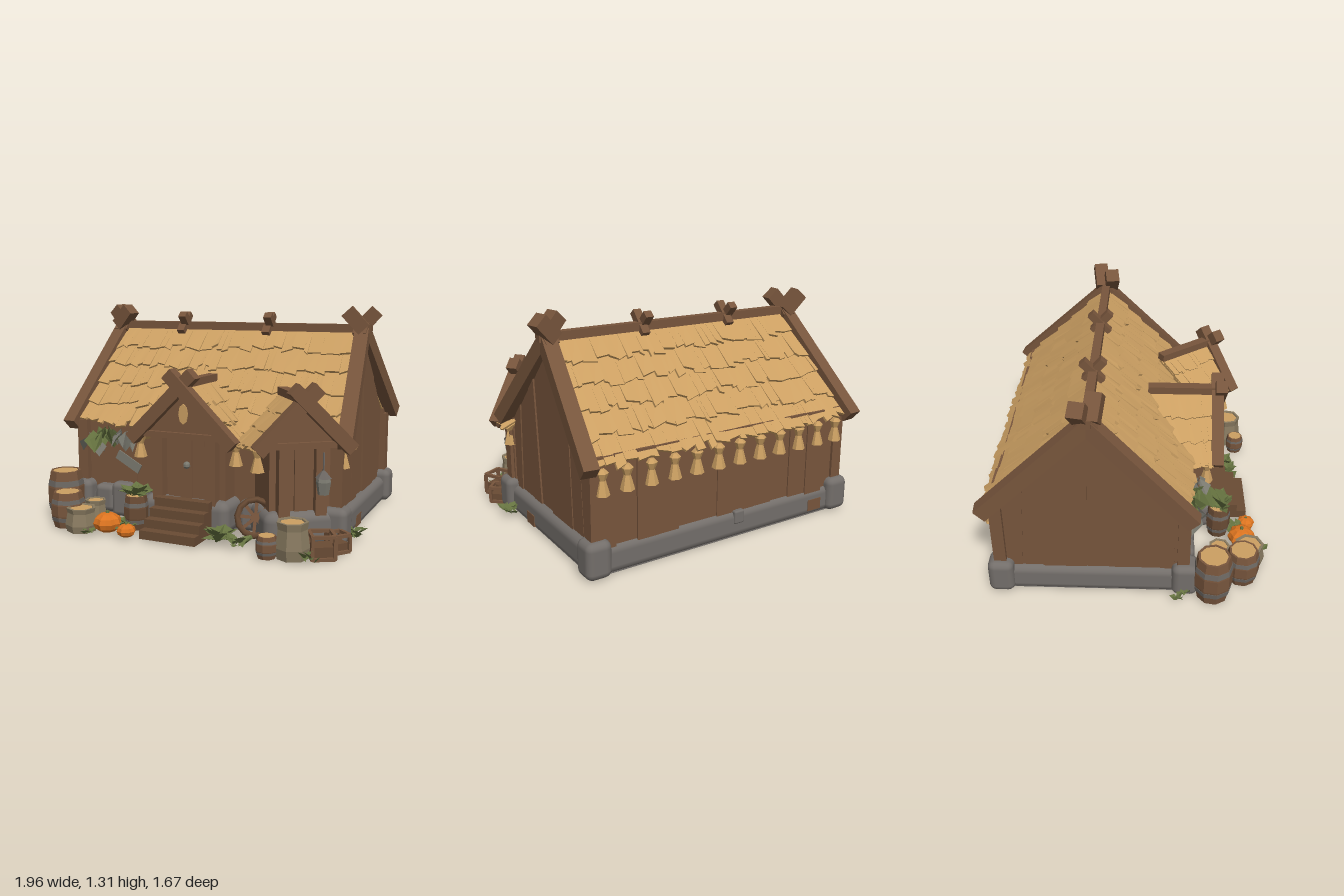
import * as THREE from 'three';
import { mergeGeometries } from 'three/addons/utils/BufferGeometryUtils.js';
import { RoundedBoxGeometry } from 'three/addons/geometries/RoundedBoxGeometry.js';

const paint = (name, color, extra) => Object.assign(new THREE.MeshStandardMaterial({ color }), { name }, extra);
const V = (x, y, z) => new THREE.Vector3(x, y, z);

export function createModel() {
  const wood = paint('wood', 0x77553c), darkWood = paint('dark wood', 0x694b34), thatchMat = paint('thatch', 0xcb9f62);
  const stone = paint('stone', 0x736e6a), sackMat = paint('sackcloth', 0x887a60), orange = paint('pumpkin orange', 0xdc7420);
  const green = paint('leaf green', 0x667340, { side: THREE.DoubleSide });
  const grey = paint('dried herb grey', 0x7b7a70, { side: THREE.DoubleSide });
  const iron = paint('iron', 0x6c6762);
  let seed = 7;
  const rnd = (a = 0, b = 1) => { seed = (seed * 16807) % 2147483647; return a + (b - a) * seed / 2147483647; };

  const model = new THREE.Group();
  model.name = 'cottage';
  const put = (parent, name, geo, mat, x = 0, y = 0, z = 0) => {
    const m = new THREE.Mesh(geo, mat);
    m.name = name; m.position.set(x, y, z); parent.add(m);
    return m;
  };
  const flat = g => { const f = g.index ? g.toNonIndexed() : g; f.computeVertexNormals(); return f; };
  const box = (parent, name, mat, w, h, d, x, y, z) => put(parent, name, new THREE.BoxGeometry(w, h, d), mat, x, y, z);
  const rock = (parent, name, w, h, d, x, y, z) => put(parent, name, new RoundedBoxGeometry(w, h, d, 2, Math.min(w, h, d) * 0.28), stone, x, y, z);
  // A square timber running from point a to point b
  const beam = (parent, name, a, b, w, h) => {
    const m = new THREE.Mesh(new THREE.BoxGeometry(w, h, a.distanceTo(b)), wood);
    m.name = name; m.position.copy(a).lerp(b, 0.5); m.lookAt(b); parent.add(m);
  };
  const lathe = (pts, n) => flat(new THREE.LatheGeometry(pts.map(p => new THREE.Vector2(...p)), n));

  // Layered straw between a ridge (a to b) and an eave (c to d)
  const thatch = (parent, name, a, b, c, d, rows, cols) => {
    const n = c.clone().sub(a).cross(b.clone().sub(a)).normalize(), parts = [];
    const bundle = (u0, u1, v0, v1, skew, base, thin, thick, lift) => {
      const g = new THREE.BoxGeometry(1, 1, 1), p = g.attributes.position;
      for (let i = 0; i < p.count; i++) {
        const s = p.getX(i) + 0.5, t = p.getZ(i) + 0.5;
        const u = u0 + (u1 - u0) * s, v = v0 + (v1 - v0 + skew * (s - 0.5)) * t;
        const q = a.clone().lerp(b, u).lerp(c.clone().lerp(d, u), v);
        q.addScaledVector(n, base + lift * t + (p.getY(i) + 0.5) * (thin + thick * t));
        p.setXYZ(i, q.x, q.y, q.z);
      }
      parts.push(flat(g));
    };
    bundle(0, 1, 0, 0.98, 0, -0.035, 0.035, 0, 0);
    for (let r = 0; r < rows; r++) {
      for (let u = 0; u < 1;) {
        let w = rnd(0.4, 1.6) / cols;
        if (u + w > 1 - 0.4 / cols) w = 1 - u;
        bundle(u, u + w * 1.02, Math.max(0, r / rows - 0.02), (r + 1) / rows + rnd(-0.01, 0.05), rnd(-0.04, 0.04), 0, 0.008, 0.008, rnd(0.004, 0.016));
        u += w + 1e-6;
      }
    }
    put(parent, name, mergeGeometries(parts), thatchMat);
  };

  // Hanging straw tassel, its top at y
  const tasselGeo = lathe([[0, -0.15], [0.04, -0.14], [0.018, -0.06], [0.034, -0.02], [0.015, 0], [0, 0]], 6);
  const tassel = (parent, x, y, z) => put(parent, 'strawTassel', tasselGeo, thatchMat, x, y, z);

  // Clusters of folded leaves
  const leafGeo = () => {
    const g = new THREE.BufferGeometry();
    g.setAttribute('position', new THREE.Float32BufferAttribute([0, 0, 0, 0.4, 0.15, 0.5, 0, 0, 1, 0, 0, 0, 0, 0, 1, -0.4, 0.15, 0.5], 3));
    g.computeVertexNormals();
    return g;
  };
  const leaves = (name, mat, x, y, z, r, n, droop = false) => {
    const parts = [], o = new THREE.Object3D();
    for (let i = 0; i < n; i++) {
      const t = i * 2.4, up = droop ? rnd(-4, -1.3) : rnd(0.1, 1.3);
      o.position.set(rnd(-0.4, 0.4) * r, rnd(0, 0.25) * r, rnd(-0.4, 0.4) * r);
      o.lookAt(o.position.clone().add(V(Math.cos(t), up, Math.sin(t))));
      o.scale.setScalar(r * rnd(0.6, 1)); o.updateMatrix();
      parts.push(leafGeo().applyMatrix4(o.matrix));
    }
    put(model, name, mergeGeometries(parts), mat, x, y, z);
  };

  // Stone footing with rounded corner stones
  rock(model, 'foundation', 1.74, 0.17, 1.1, 0, 0.085, -0.23);
  box(model, 'foundationBottom', stone, 1.7, 0.05, 1.06, 0, 0.026, -0.23);
  for (const x of [-0.83, 0.83]) for (const z of [-0.74, 0.31]) rock(model, 'cornerStone', 0.15, 0.21, 0.15, x, 0.11, z);
  for (const x of [-0.66, -0.54, -0.42, 0.33, 0.45]) rock(model, 'frontStone', 0.14, rnd(0.17, 0.22), 0.12, x, 0.11, 0.31);
  box(model, 'patchBrick', wood, 0.012, 0.07, 0.1, 0.868, 0.055, -0.02);
  box(model, 'patchBrick', wood, 0.1, 0.07, 0.012, -0.66, 0.07, -0.778);
  rock(model, 'looseStone', 0.07, 0.08, 0.04, -0.08, 0.13, -0.77);

  // Plank walls, the gable planks leaning a little and cut to the roof pitch
  const R = { z: -0.22, y: 1.15 }, roofY = z => R.y - (z > R.z ? 1.06 : 0.94) * Math.abs(z - R.z) - 0.03;
  const plank = ([b0, t0], [b1, t1], depth) => {
    const s = new THREE.Shape([[b0, 0.13], [b1, 0.13], [t1, roofY(t1)], [t0, roofY(t0)]].map(p => new THREE.Vector2(...p)));
    return new THREE.ExtrudeGeometry(s, { depth, bevelEnabled: false });
  };
  const cuts = [[-0.74, -0.74], [-0.62, -0.58], [-0.5, -0.47], [-0.39, -0.36], [-0.25, -0.22], [-0.1, -0.04], [0, 0.03], [0.17, 0.15], [0.3, 0.3]];
  for (const side of [-1, 1]) for (let i = 0; i < cuts.length - 1; i++) {
    const m = put(model, 'gablePlank', plank(cuts[i], cuts[i + 1], 0.05), wood);
    m.rotation.y = -Math.PI / 2;
    m.position.x = side > 0 ? 0.82 + rnd(0, 0.016) : -0.78 - rnd(0, 0.016);
  }
  for (const [z, top] of [[-0.74, 0.66], [0.28, 0.62]]) for (let i = 0; i < 13; i++) {
    box(model, 'wallPlank', wood, 0.13, top - 0.12, 0.05, -0.78 + i * 0.13, (top + 0.12) / 2, z + rnd(-0.01, 0.01));
  }
  for (const x of [-0.83, 0.83]) for (const z of [-0.74, 0.3]) box(model, 'cornerPost', wood, 0.07, 0.43, 0.07, x, 0.38, z);

  // Main roof, ridge pole and crossed gable timbers
  thatch(model, 'frontThatch', V(-0.81, R.y, R.z), V(0.77, R.y, R.z), V(-0.85, 0.585, 0.32), V(0.83, 0.585, 0.32), 5, 30);
  thatch(model, 'backThatch', V(0.77, R.y, R.z), V(-0.81, R.y, R.z), V(0.84, 0.615, -0.775), V(-0.85, 0.615, -0.775), 5, 30);
  beam(model, 'ridgePole', V(-0.9, 1.175, R.z), V(0.87, 1.175, R.z), 0.05, 0.05);
  for (const [s, top, foot] of [[-1, -0.845, -0.9], [1, 0.81, 0.88]]) {
    beam(model, 'frontRafter', V(top, 1.18, -0.25), V(foot, 0.56, 0.35), 0.085, 0.085);
    beam(model, 'backRafter', V(top, 1.18, -0.19), V(foot, 0.6, -0.81), 0.085, 0.085);
    beam(model, 'ridgeHorn', V(top + s * 0.02, 1.17, -0.195), V(top - s * 0.08, 1.28, -0.175), 0.085, 0.085);
    beam(model, 'ridgeHorn', V(top - s * 0.02, 1.17, -0.245), V(top + s * 0.08, 1.28, -0.265), 0.085, 0.085);
  }
  for (const x of [-0.375, 0.22]) for (const s of [-1, 1]) {
    beam(model, 'ridgeClamp', V(x + s * 0.008, 1.13, R.z - s * 0.05), V(x + s * 0.008, 1.25, R.z + s * 0.06), 0.05, 0.045);
  }
  for (let i = 0; i < 12; i++) tassel(model, -0.8 + i * 0.145, 0.6, -0.775);

  // Gabled porch facing local +z, with its gable at z = 0; back holds how far each eave runs back
  const porch = (name, x, z, yaw, half, ridge, eave, len, back) => {
    const g = new THREE.Group();
    g.name = name; g.position.set(x, 0, z); g.rotation.y = yaw; model.add(g);
    const wall = half - 0.09, k = (ridge - eave) / half;
    rock(g, 'porchFooting', wall * 2 + 0.08, 0.2, len, 0, 0.105, -len / 2 - 0.01);
    box(g, 'porchWall', wood, wall * 2, 0.42, len - 0.1, 0, 0.37, -len / 2 - 0.03);
    const tri = new THREE.Shape([[-half + 0.04, eave + 0.02], [half - 0.04, eave + 0.02], [0, ridge - 0.02]].map(p => new THREE.Vector2(...p)));
    put(g, 'porchGable', new THREE.ExtrudeGeometry(tri, { depth: 0.04, bevelEnabled: false }), wood, 0, 0, -0.07);
    for (const s of [-1, 1]) {
      box(g, 'doorPost', wood, 0.065, 0.4, 0.06, s * (wall - 0.07), 0.38, -0.05);
      beam(g, 'porchRafter', V(s * half, eave, s * 0.01), V(-s * 0.075, ridge + 0.08 * k, s * 0.01), 0.07, 0.075);
      const top0 = V(0, ridge, 0), top1 = V(0, ridge, -len);
      const low0 = V(s * (half - 0.01), eave + 0.01, 0), low1 = V(s * (half + 0.03), eave - 0.02, -back[s < 0 ? 0 : 1]);
      if (s > 0) thatch(g, 'porchThatch', top0, top1, low0, low1, 3, 8);
      else thatch(g, 'porchThatch', top1, top0, low1, low0, 3, 8);
      tassel(g, s * (half - 0.02), eave + 0.02, -0.07);
    }
    beam(g, 'porchRidge', V(0, ridge + 0.015, 0), V(0, ridge + 0.015, -len), 0.06, 0.045);
    box(g, 'lintel', wood, wall * 2 + 0.02, 0.035, 0.05, 0, 0.575, -0.03);
    for (let i = -1; i < 2; i++) box(g, 'doorPlank', wood, 0.076, 0.37, 0.02, i * 0.078, 0.385, -0.065 - 0.006 * Math.abs(i));
    return g;
  };
  const entry = porch('entrancePorch', -0.035, 0.51, 0, 0.33, 0.86, 0.54, 0.43, [0.2, 0.18]);
  const corner = porch('cornerPorch', 0.7, 0.49, 0.65, 0.265, 0.81, 0.55, 0.42, [0.31, 0.07]);
  const gableWindow = put(entry, 'gableWindow', flat(new THREE.CylinderGeometry(0.03, 0.03, 0.008, 8)), thatchMat, 0, 0.7, -0.026);
  gableWindow.rotation.x = Math.PI / 2;
  gableWindow.scale.z = 2;
  put(entry, 'doorKnocker', flat(new THREE.SphereGeometry(0.022, 7, 5)), grey, 0.01, 0.4, -0.045);

  // Lantern under the corner porch
  const lantern = new THREE.Group();
  lantern.name = 'lantern'; lantern.position.set(0.1, 0.31, 0.02); corner.add(lantern);
  put(lantern, 'lanternBody', lathe([[0, 0], [0.03, 0], [0.042, 0.07], [0.036, 0.09], [0, 0.09]], 6), grey);
  put(lantern, 'lanternCap', lathe([[0, 0.09], [0.045, 0.09], [0.01, 0.13], [0, 0.13]], 6), iron);
  box(lantern, 'lanternHook', iron, 0.008, 0.12, 0.008, 0, 0.17, 0);

  // Entrance steps
  for (let i = 0; i < 4; i++) box(model, 'step', darkWood, 0.35, 0.05 * (4 - i), 0.06, -0.025, 0.01 + 0.025 * (4 - i), 0.51 + i * 0.06);

  // Barrels with two hoops and a filled top
  const barrel = (x, z, r, h, staves = wood) => {
    const b = new THREE.Group();
    b.name = 'barrel'; b.position.set(x, 0.005, z); model.add(b);
    put(b, 'staves', lathe([[0, 0], [r * 0.82, 0], [r, h * 0.35], [r, h * 0.65], [r * 0.84, h], [r * 0.72, h], [r * 0.72, h * 0.95]], 9), staves);
    for (const t of [0.25, 0.75]) put(b, 'hoop', flat(new THREE.CylinderGeometry(r * (t > 0.5 ? 0.95 : 1), r * (t > 0.5 ? 1 : 0.95), h * 0.12, 9)), iron, 0, h * t, 0);
    put(b, 'filling', flat(new THREE.CylinderGeometry(r * 0.73, r * 0.73, 0.01, 9)), thatchMat, 0, h * 0.97, 0);
  };
  barrel(-0.87, 0.47, 0.112, 0.29);
  barrel(-0.73, 0.65, 0.1, 0.21);
  barrel(0.565, 0.7, 0.06, 0.12);
  barrel(-0.33, 0.53, 0.075, 0.2, darkWood);

  // Open sacks
  for (const [x, z, r, h] of [[-0.6, 0.7, 0.095, 0.14], [-0.62, 0.52, 0.07, 0.14], [0.69, 0.65, 0.095, 0.2]]) {
    put(model, 'sack', lathe([[0, 0], [r * 0.9, 0], [r, h * 0.3], [r * 0.85, h * 0.8], [r * 0.92, h], [r * 0.75, h], [r * 0.7, h * 0.92]], 7), sackMat, x, 0.005, z);
    put(model, 'grain', flat(new THREE.CylinderGeometry(r * 0.74, r * 0.74, 0.01, 7)), thatchMat, x, h * 0.96, z);
  }

  // Ribbed pumpkins
  for (const [x, z, r] of [[-0.44, 0.67, 0.085], [-0.29, 0.71, 0.056]]) {
    const g = new THREE.SphereGeometry(r, 16, 6), p = g.attributes.position;
    for (let i = 0; i < p.count; i++) {
      const k = 0.94 + 0.06 * Math.cos(8 * Math.atan2(p.getZ(i), p.getX(i)));
      p.setXYZ(i, p.getX(i) * k, p.getY(i) * 0.7, p.getZ(i) * k);
    }
    put(model, 'pumpkin', flat(g), orange, x, r * 0.7 + 0.005, z);
    put(model, 'pumpkinStem', flat(new THREE.CylinderGeometry(r * 0.1, r * 0.18, r * 0.3, 5)), green, x, r * 1.45, z);
  }

  // Cart wheel leaning on the wall
  const wheel = new THREE.Group();
  wheel.name = 'cartWheel'; wheel.position.set(0.42, 0.15, 0.5); wheel.rotation.set(-0.25, 0.35, 0); model.add(wheel);
  put(wheel, 'rim', new THREE.TorusGeometry(0.1, 0.019, 5, 12), darkWood);
  put(wheel, 'hub', flat(new THREE.CylinderGeometry(0.025, 0.025, 0.05, 8)), wood).rotation.x = Math.PI / 2;
  for (let i = 0; i < 4; i++) box(wheel, 'spoke', wood, 0.2, 0.018, 0.014, 0, 0, 0).rotation.z = i * Math.PI / 4;

  // Open slatted crates
  for (const [x, z, s, yaw] of [[0.83, 0.58, 0.12, 0.5], [0.88, 0.45, 0.09, 0.9]]) {
    const c = new THREE.Group(), h = s / 2;
    c.name = 'crate'; c.position.set(x, h + 0.012, z); c.rotation.y = yaw; model.add(c);
    for (const i of [-h, h]) for (const j of [-h, h]) {
      box(c, 'crateEdge', wood, s, 0.018, 0.018, 0, i, j);
      box(c, 'crateEdge', wood, 0.018, s, 0.018, i, 0, j);
      box(c, 'crateEdge', wood, 0.018, 0.018, s, i, j, 0);
    }
    box(c, 'crateFilling', darkWood, s * 0.9, s * 0.5, s * 0.9, 0, -s * 0.22, 0);
  }

  // Plants, and herbs drying under the eave
  leaves('pottedPlant', green, -0.33, 0.19, 0.53, 0.1, 26);
  leaves('shrub', green, 0.25, 0.02, 0.6, 0.11, 22);
  leaves('shrub', green, 0.37, 0.01, 0.62, 0.09, 14);
  leaves('vine', green, -0.36, 0.03, 0.64, 0.08, 14);
  leaves('weeds', green, -0.5, 0.01, 0.77, 0.06, 6);
  leaves('weeds', green, 0.8, 0.01, 0.68, 0.08, 8);
  leaves('weeds', green, 0.9, 0.01, 0.2, 0.09, 10);
  leaves('weeds', green, -0.92, 0.01, 0.29, 0.09, 10);
  leaves('greenHerbs', green, -0.63, 0.55, 0.4, 0.18, 10, true);
  leaves('greyHerbs', grey, -0.5, 0.54, 0.35, 0.14, 8, true);
  leaves('greyHerbs', grey, -0.7, 0.49, 0.34, 0.16, 6, true);
  box(model, 'hangingCloth', grey, 0.18, 0.06, 0.008, -0.5, 0.35, 0.325).rotation.z = -0.5;
  return model;
}
